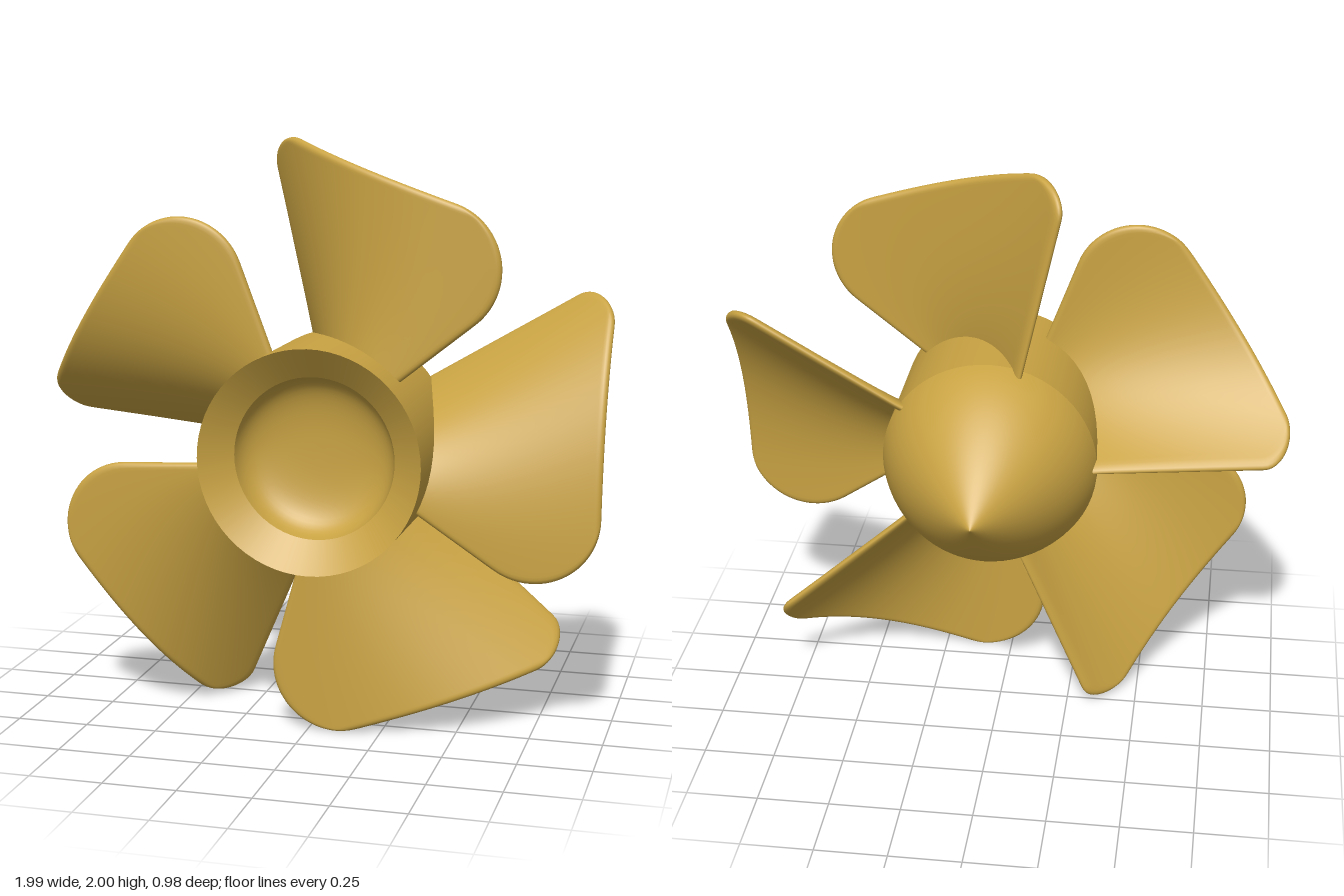
import * as THREE from 'three';
import { mergeVertices } from 'three/addons/utils/BufferGeometryUtils.js';
import { ParametricGeometry } from 'three/addons/geometries/ParametricGeometry.js';

const ROOT = 0.3, TIP = 0.945, HALF_THICK = 0.016;

// Straight blade edges fanning out from the hub (x is radial, value is tangential)
const lead = { line: x => 0.22 + 0.595 * (x - 0.31), slope: 0.595, r: 0.09 };
const trail = { line: x => 0.175 + 0.66 * (x - 0.32), slope: 0.66, r: 0.225 };

// Edge distance with the tip corner rounded by an arc tangent to edge and tip
function edge({ line, slope, r }, x) {
  const k = Math.hypot(1, slope), xc = TIP - r;
  if (x < xc - r * slope / k) return line(x);
  return line(xc) - r * k + Math.sqrt(Math.max(0, r * r - (x - xc) ** 2));
}

// Twisted blade surface: nearly flat at the trailing edge, sweeping back at the leading edge
function height(x, t) {
  const q = Math.max(0, (t + trail.line(x)) / (lead.line(x) + trail.line(x)));
  const power = THREE.MathUtils.lerp(2.3, 3.7, (x - ROOT) / (TIP - ROOT));
  return 0.34 - 0.38 * Math.pow(q, power);
}

// Half-round falloff of thickness near the rim
function rim(d) {
  const f = Math.min(1, Math.max(0, d) / 0.02);
  return Math.sqrt(1 - (1 - f) ** 2);
}

function bladeGeometry() {
  const n = new THREE.Vector3(), e = 0.001;
  const geo = new ParametricGeometry((u, v, target) => {
    const a = u * Math.PI * 2;
    const x = ROOT + (TIP - ROOT) * Math.sin(v * Math.PI / 2);
    const hi = edge(lead, x), lo = -edge(trail, x);
    const t = (hi + lo) / 2 + (hi - lo) / 2 * Math.cos(a);
    const side = u === 0 || u === 1 || u === 0.5 ? 0 : Math.sign(Math.sin(a));
    const thick = side * HALF_THICK * rim(Math.min(hi - t, t - lo)) * rim(TIP - x);
    n.set(
      (height(x - e, t) - height(x + e, t)) / (2 * e),
      (height(x, t - e) - height(x, t + e)) / (2 * e), 1).normalize();
    target.set(x, t, height(x, t)).addScaledVector(n, thick);
  }, 72, 40);
  geo.deleteAttribute('normal');
  geo.deleteAttribute('uv');
  const merged = mergeVertices(geo, 1e-5);
  merged.computeVertexNormals();
  return merged;
}

export function createModel() {
  const model = new THREE.Group();
  model.name = 'propeller';
  const rotor = new THREE.Group();
  rotor.name = 'rotor';
  rotor.position.set(0.04, 0.965, 0);
  model.add(rotor);
  const material = new THREE.MeshStandardMaterial({ color: 0xc9a343 });

  // Hub: separate turned sections keep the edges between them sharp
  const p = (r, z) => new THREE.Vector2(r, z);
  const sections = {
    noseCone: new THREE.QuadraticBezierCurve(p(0, -0.49), p(0.32, -0.22), p(0.38, 0)).getPoints(20),
    hubBarrel: [p(0.38, 0), p(0.38, 0.49)],
    flaredRim: [p(0.38, 0.49), p(0.275, 0.41)],
    hubPocket: new THREE.CubicBezierCurve(p(0.275, 0.41), p(0.26, 0.33), p(0.2, 0.3), p(0, 0.3)).getPoints(14),
  };
  for (const [name, profile] of Object.entries(sections)) {
    const part = new THREE.Mesh(new THREE.LatheGeometry(profile, 64).rotateX(Math.PI / 2), material);
    part.name = name;
    rotor.add(part);
  }

  // Five blades around the hub
  const blade = bladeGeometry();
  for (let i = 0; i < 5; i++) {
    const mesh = new THREE.Mesh(blade, material);
    mesh.name = `blade${i + 1}`;
    mesh.rotation.z = i * Math.PI * 2 / 5;
    rotor.add(mesh);
  }
  return model;
}
